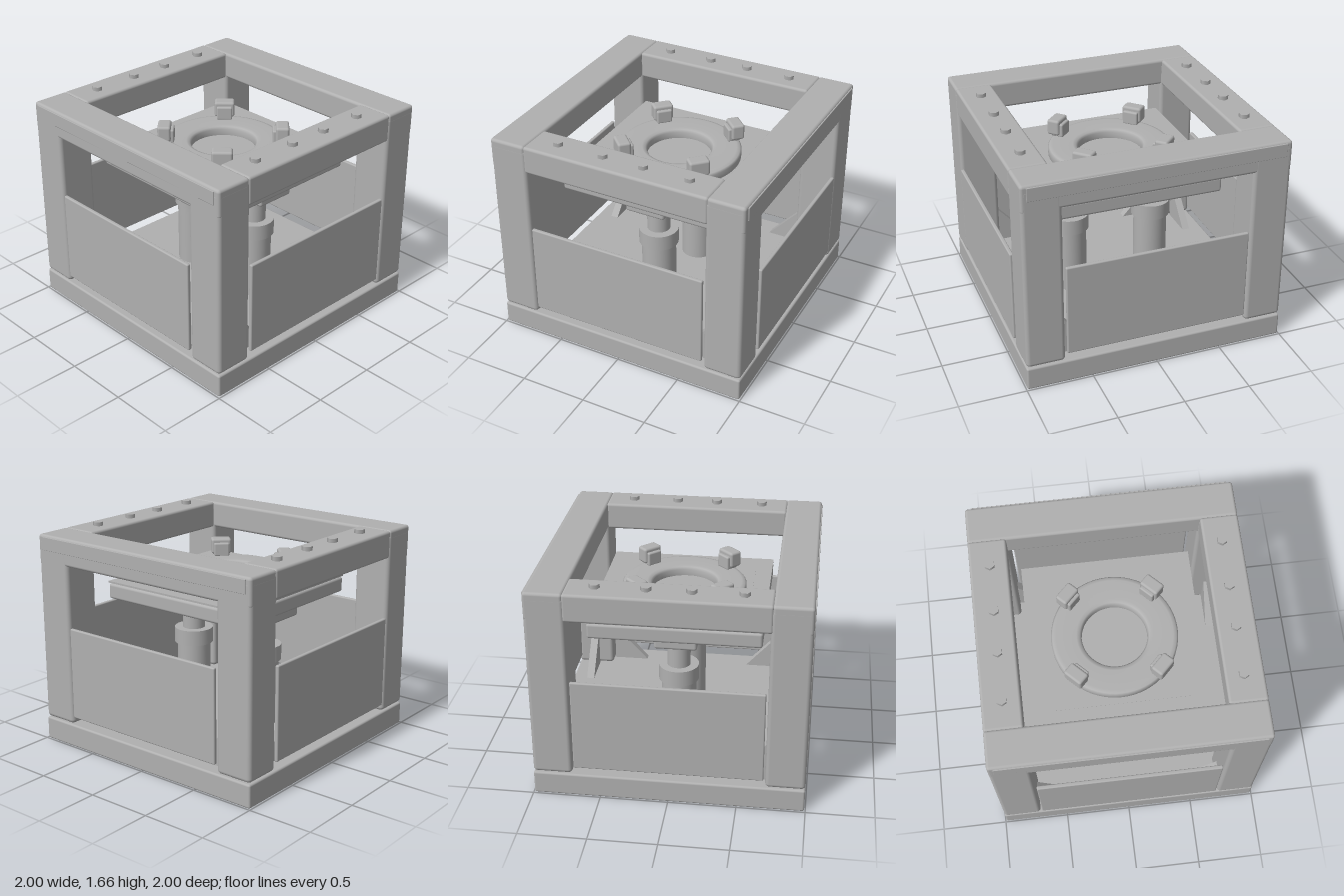
import * as THREE from 'three';
import { RoundedBoxGeometry } from 'three/addons/geometries/RoundedBoxGeometry.js';

export function createModel() {
  const model = new THREE.Group();
  model.name = 'press';
  const steel = new THREE.MeshStandardMaterial({ color: 0xb0b0b0 });
  steel.name = 'grey steel';

  const add = (name, geometry, x = 0, y = 0, z = 0, parent = model) => {
    const mesh = new THREE.Mesh(geometry, steel);
    mesh.name = name;
    mesh.position.set(x, y, z);
    parent.add(mesh);
    return mesh;
  };
  // Rounded block given by its width, bottom, top and depth
  const block = (name, w, y0, y1, d, r, x = 0, z = 0, parent = model) =>
    add(name, new RoundedBoxGeometry(w, y1 - y0, d, 3, r), x, (y0 + y1) / 2, z, parent);
  const rod = (name, r, y0, y1, x, z, sides = 40) =>
    add(name, new THREE.CylinderGeometry(r, r, y1 - y0, sides), x, (y0 + y1) / 2, z);

  // Base and frame
  block('base', 1.985, 0, 0.178, 1.985, 0.015);
  for (const x of [-1, 1]) {
    for (const z of [-1, 1]) block('post', 0.29, 0.185, 1.6, 0.29, 0.03, x * 0.848, z * 0.848);
    block('sideRail', 0.28, 1.42, 1.63, 1.44, 0.02, x * 0.852, 0);
    for (const z of [-0.515, -0.16, 0.155, 0.515]) rod('bolt', 0.039, 1.62, 1.66, x * 0.845, z, 6);
  }
  for (const z of [-1, 1]) {
    block('crossRail', 1.985, 1.42, 1.63, 0.28, 0.022, 0, z * 0.852);
    block('railStrip', 1.9, 1.515, 1.615, 0.02, 0.003, 0, z * 0.99);
  }

  // Guard panels and post gussets on all four sides
  const triangle = new THREE.Shape([[0.42, 0.17], [0.72, 0.17], [0.72, 0.5]].map(p => new THREE.Vector2(...p)));
  const gusset = new THREE.ExtrudeGeometry(triangle, { depth: 0.06, bevelEnabled: false });
  gusset.translate(0, 0, -0.03);
  for (let i = 0; i < 4; i++) {
    const side = new THREE.Group();
    side.name = 'guardSide';
    side.rotation.y = i * Math.PI / 2;
    model.add(side);
    block('guardPanel', 1.38, 0.245, 0.953, 0.03, 0.01, 0, 0.985, side);
    add('gusset', gusset, 0, 0, 0.85, side);
    add('gusset', gusset, 0, 0, -0.85, side).rotation.y = 0;
    side.children[2].rotation.y = Math.PI;
    side.children[2].position.z = 0.85;
  }

  // Hydraulic jacks
  for (const x of [-0.335, 0.335]) {
    rod('jackBody', 0.13, 0.17, 0.7, x, 0);
    rod('jackCollar', 0.15, 0.68, 0.8, x, 0);
    rod('jackRod', 0.087, 0.79, 1.03, x, 0);
  }

  // Lift beam, platen and its thin cover sheets
  block('liftBeam', 1.11, 1.022, 1.115, 0.315, 0.02);
  block('platen', 1.27, 1.117, 1.235, 1.27, 0.02);
  add('coverSheet', new THREE.BoxGeometry(1.27, 0.014, 1.27), 0, 1.247, 0);
  add('innerSheet', new THREE.BoxGeometry(1.02, 0.022, 1.02), 0, 1.245, 0);

  // Die ring with softened edges
  const profile = [[0.245, 1.25], [0.455, 1.25], [0.465, 1.26], [0.467, 1.31], [0.455, 1.324], [0.43, 1.33],
    [0.28, 1.33], [0.255, 1.322], [0.242, 1.305], [0.242, 1.26], [0.245, 1.25]];
  add('dieRing', new THREE.LatheGeometry(profile.map(p => new THREE.Vector2(...p)), 64));

  // Four clamps around the ring
  for (let i = 0; i < 4; i++) {
    const clamp = new THREE.Group();
    clamp.name = 'clamp';
    clamp.rotation.y = Math.PI / 4 + i * Math.PI / 2;
    model.add(clamp);
    block('clampBlock', 0.155, 1.34, 1.46, 0.1, 0.018, 0, 0.442, clamp);
    block('clampJaw', 0.12, 1.325, 1.43, 0.1, 0.012, 0, 0.418, clamp);
  }
  return model;
}
